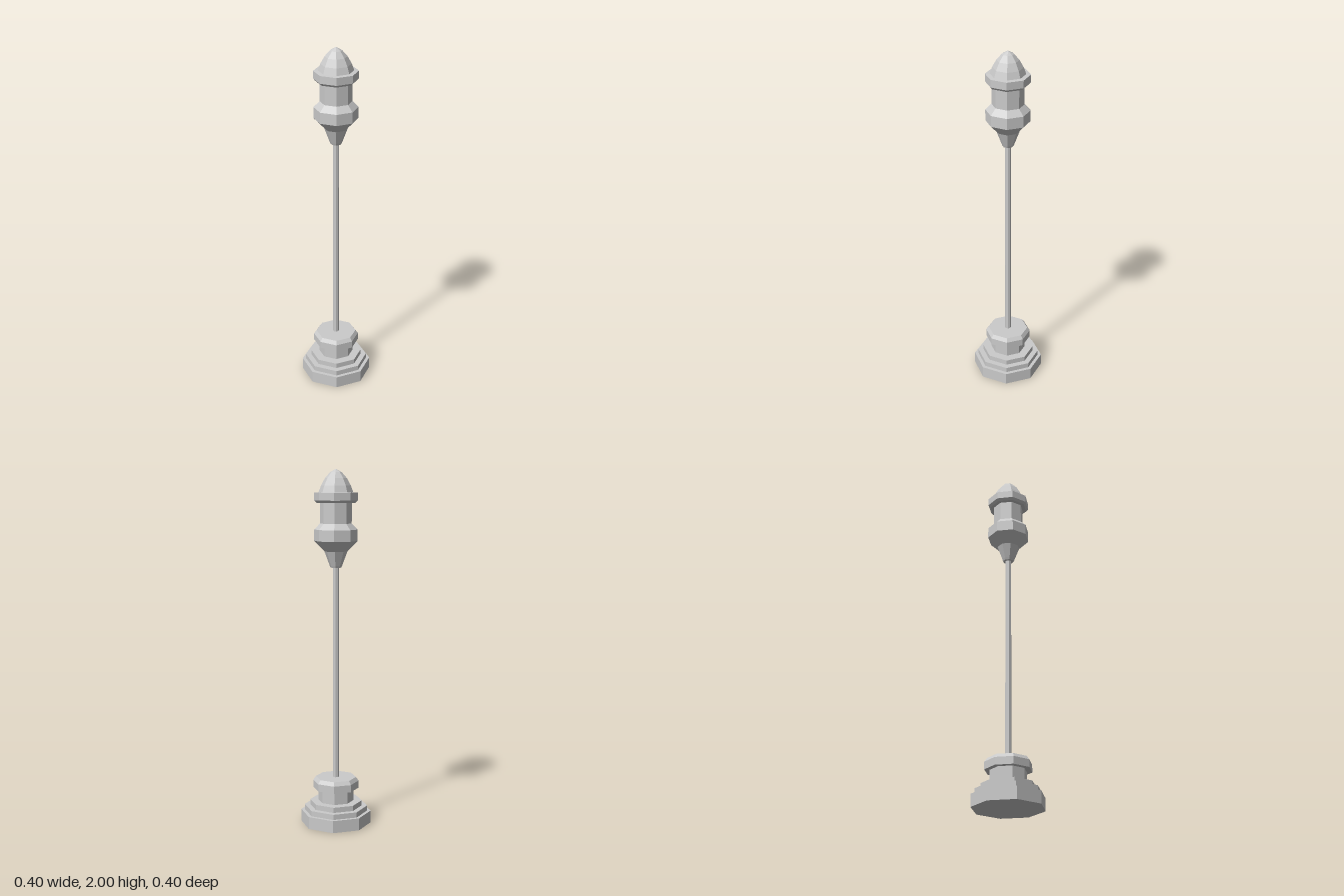
import * as THREE from 'three';

const material = new THREE.MeshStandardMaterial({ color: 0xcccccc, flatShading: true });

// Eight-sided turned part from [radius, height] pairs, listed bottom to top
function turned(name, profile) {
  const points = profile.map(([r, y]) => new THREE.Vector2(r, y));
  const mesh = new THREE.Mesh(new THREE.LatheGeometry(points, 8).toNonIndexed(), material);
  mesh.geometry.computeVertexNormals();
  mesh.name = name;
  return mesh;
}

export function createModel() {
  const lamp = new THREE.Group();
  lamp.name = 'streetLamp';

  // Stepped pedestal with a chamfered collar
  lamp.add(turned('pedestal', [
    [0, 0], [0.2, 0], [0.2, 0.07],
    [0.18, 0.07], [0.18, 0.1],
    [0.148, 0.1], [0.148, 0.13],
    [0.1, 0.13], [0.1, 0.205],
  ]));
  lamp.add(turned('pedestalCollar', [
    [0, 0.205], [0.13, 0.205], [0.13, 0.247], [0.115, 0.268], [0, 0.268],
  ]));

  // Slender post
  lamp.add(turned('post', [[0.017, 0.268], [0.017, 1.465]]));

  // Lantern: flared cup, bulging rim and narrower glass
  lamp.add(turned('lanternCup', [
    [0, 1.463], [0.03, 1.463], [0.035, 1.475], [0.064, 1.553],
    [0.12, 1.61], [0.12, 1.672], [0.087, 1.705],
  ]));
  lamp.add(turned('lanternGlass', [[0.087, 1.705], [0.087, 1.82]]));

  // Roof band and pointed dome
  lamp.add(turned('roofBand', [
    [0, 1.817], [0.108, 1.817], [0.12, 1.83], [0.12, 1.872], [0.095, 1.874],
  ]));
  lamp.add(turned('roofDome', [
    [0.095, 1.874], [0.082, 1.91], [0.06, 1.95], [0.032, 1.982], [0, 2],
  ]));

  return lamp;
}
